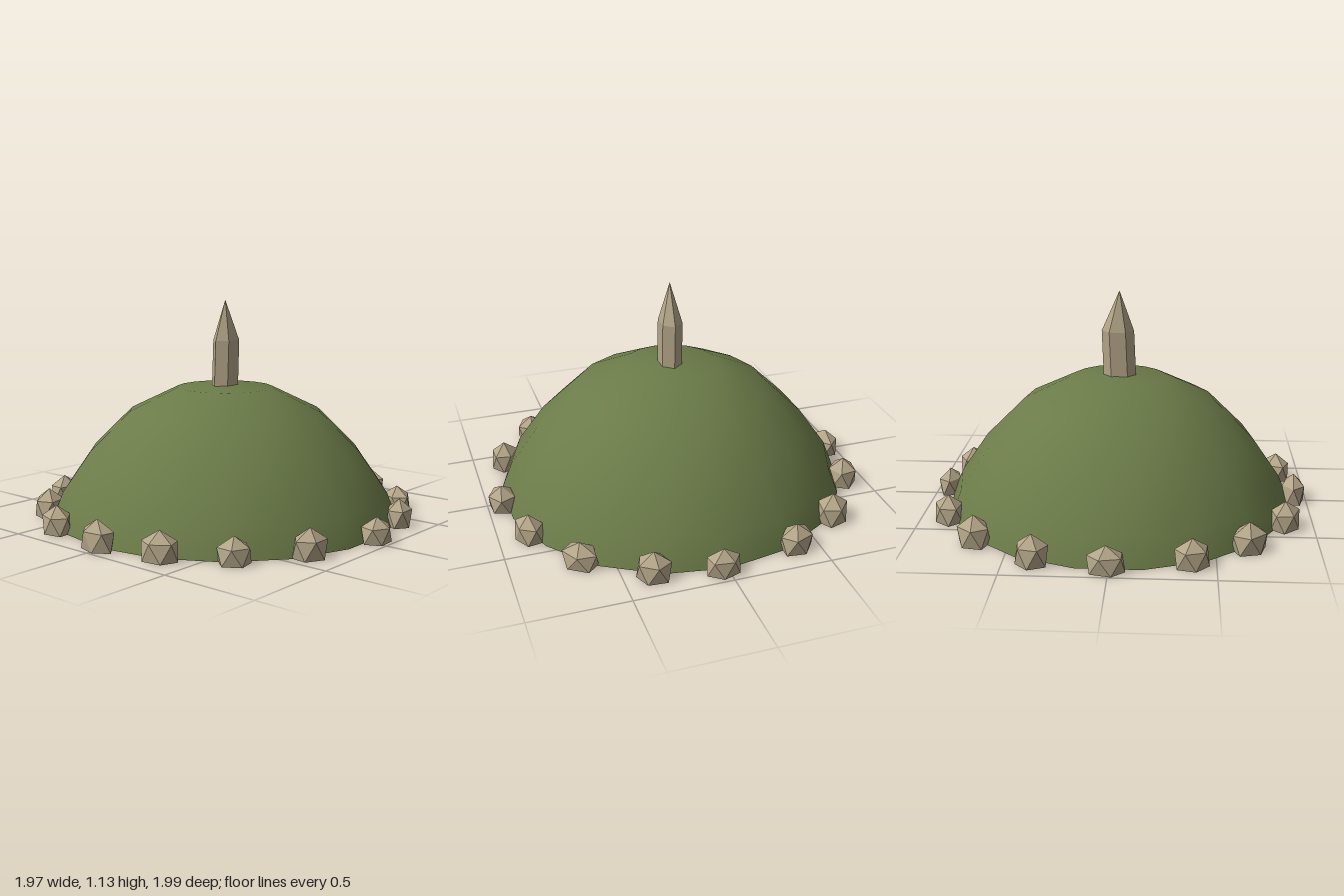
import * as THREE from 'three';

const grass = new THREE.MeshStandardMaterial({ color: 0x6b7b48 });
const rock = new THREE.MeshStandardMaterial({ color: 0xb3a588, flatShading: true });

// Kerb stones: x, z, width along the rim, depth across it, height
const KERB = [
  [0.01, -0.935, 0.18, 0.125, 0.13], [0.36, -0.87, 0.16, 0.15, 0.15],
  [0.67, -0.66, 0.18, 0.15, 0.15], [0.85, -0.38, 0.18, 0.14, 0.14],
  [0.925, 0.03, 0.17, 0.12, 0.135], [0.86, 0.355, 0.17, 0.14, 0.145],
  [0.65, 0.66, 0.19, 0.14, 0.125], [0.36, 0.85, 0.17, 0.13, 0.14],
  [0.03, 0.925, 0.17, 0.14, 0.125], [-0.39, 0.835, 0.17, 0.135, 0.145],
  [-0.68, 0.625, 0.16, 0.15, 0.13], [-0.865, 0.34, 0.18, 0.135, 0.145],
  [-0.93, 0, 0.19, 0.12, 0.15], [-0.855, -0.375, 0.19, 0.14, 0.14],
  [-0.66, -0.66, 0.19, 0.15, 0.145], [-0.385, -0.855, 0.17, 0.14, 0.14],
];

// Icosahedron standing on a corner, sized by the stone and flattened at ground level
function kerbStone([x, z, w, d, h], i) {
  const geo = new THREE.IcosahedronGeometry(1, 0);
  geo.rotateZ(Math.atan(2 / (1 + Math.sqrt(5))));
  geo.rotateY(i * 2.4);
  geo.scale(w * 0.56, h * 0.7, d * 0.56);
  geo.translate(0, h * 0.3, 0);
  const p = geo.attributes.position;
  for (let k = 0; k < p.count; k++) p.setY(k, Math.max(0, p.getY(k)));
  geo.computeVertexNormals();
  const mesh = new THREE.Mesh(geo, rock);
  mesh.name = 'kerbStone' + (i + 1);
  mesh.position.set(x, 0, z);
  mesh.rotation.y = Math.atan2(x, z);
  return mesh;
}

// Faceted surface of revolution with a corner on the +x side
function turned(points, sides) {
  const profile = points.map(([r, y]) => new THREE.Vector2(r, y));
  return new THREE.LatheGeometry(profile, sides, Math.PI / 2);
}

export function createModel() {
  const model = new THREE.Group();
  model.name = 'burialMound';

  // Grassy dome
  const mound = new THREE.Group();
  mound.name = 'mound';
  mound.position.z = -0.008;
  mound.scale.z = 1.012;
  const dome = new THREE.Mesh(turned(
    [[0.905, 0], [0.85, 0.14], [0.705, 0.35], [0.5, 0.553], [0.25, 0.675], [0, 0.69]], 18), grass);
  dome.name = 'dome';
  const base = new THREE.Mesh(new THREE.CircleGeometry(0.905, 18), grass);
  base.name = 'moundBase';
  base.rotation.x = Math.PI / 2;
  mound.add(dome, base);
  model.add(mound);

  // Standing stone, leaning slightly toward +x up to its shoulder
  const geo = turned([[0.085, 0.62], [0.084, 0.92], [0, 1.13]], 6);
  geo.scale(1, 1, 0.73);
  const p = geo.attributes.position;
  for (let k = 0; k < p.count; k++) {
    const y = p.getY(k);
    if (y < 0.7) p.setX(k, p.getX(k) - 0.005);
    else if (y < 1) p.setX(k, p.getX(k) + 0.008);
  }
  const standing = new THREE.Mesh(geo, rock);
  standing.name = 'standingStone';
  standing.position.z = -0.005;
  model.add(standing);

  // Ring of kerb stones
  const kerb = new THREE.Group();
  kerb.name = 'kerb';
  KERB.forEach((s, i) => kerb.add(kerbStone(s, i)));
  model.add(kerb);

  return model;
}
